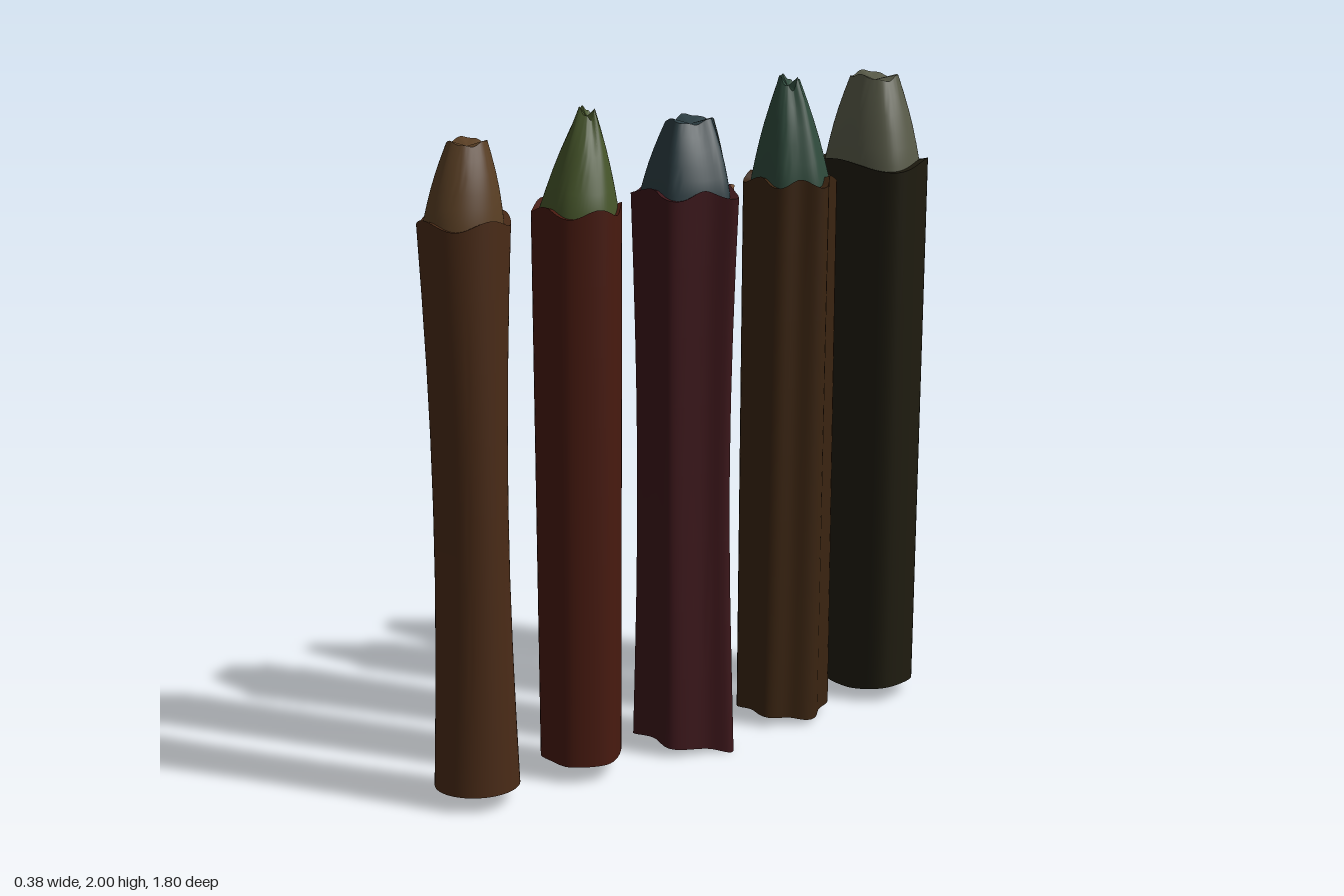
import * as THREE from 'three';
import { toCreasedNormals } from 'three/addons/utils/BufferGeometryUtils.js';

const N = 64;
const lerp = THREE.MathUtils.lerp;

// Half outline by a rule: radius as a function of the angle from the front.
const polar = (radius) => Array.from({ length: 25 }, (_, i) => {
  const a = i * Math.PI / 24;
  return [Math.sin(a) * radius(a), Math.cos(a) * radius(a)];
});

// Closed outline from one half (front to back, unit size), mirrored and smoothed.
function outline(half) {
  const mirrored = half.slice(1, -1).reverse().map(([x, z]) => [-x, z]);
  const pts = [...half, ...mirrored].map(([x, z]) => new THREE.Vector3(x, 0, z));
  return new THREE.CatmullRomCurve3(pts, true, 'centripetal').getSpacedPoints(N).slice(0, N);
}

// Skin through rows of [y, half width, front z, back z]; wave(row, u, angle) shifts y.
// A row of zero width closes the skin; a span of segments makes an open strip.
function loft(shape, rows, wave, [from, to] = [0, N]) {
  const pos = [], idx = [];
  rows.forEach(([y, hx, front, back], r) => {
    for (const p of shape) {
      const dy = wave(r, p.x, Math.atan2(p.x, p.z));
      pos.push(p.x * hx, y + dy, (front + back) / 2 + p.z * (front - back) / 2);
    }
  });
  for (let r = 0; r < rows.length - 1; r++) {
    for (let s = from; s < to; s++) {
      const a = r * N + s, b = r * N + (s + 1) % N, c = b + N, d = a + N;
      if (rows[r][1] > 0) idx.push(a, b, c);
      if (rows[r + 1][1] > 0) idx.push(a, c, d);
    }
  }
  const geo = new THREE.BufferGeometry();
  geo.setAttribute('position', new THREE.Float32BufferAttribute(pos, 3));
  geo.setIndex(idx);
  return toCreasedNormals(geo, 0.7);
}

function part(name, geo, color) {
  const mesh = new THREE.Mesh(geo, new THREE.MeshStandardMaterial({ color, side: THREE.DoubleSide }));
  mesh.name = name;
  return mesh;
}

// Evenly spaced rows between two sections, drawn in at the middle by a pinch.
function taper(start, end, steps, pinchX, pinchZ) {
  return Array.from({ length: steps + 1 }, (_, i) => {
    const t = i / steps, mid = Math.sin(Math.PI * t);
    const [y, hx, front, back] = start.map((v, k) => lerp(v, end[k], t));
    return [y, hx - pinchX * mid, front - pinchZ * mid, back + pinchZ * mid];
  });
}

// Section scaled about its own centre and placed at height y.
function scaled([, hx, front, back], k, y) {
  const mid = (front + back) / 2;
  return [y, hx * k, lerp(mid, front, k), lerp(mid, back, k)];
}

const grow = ([y, hx, front, back]) => [y, hx + 0.002, front + 0.002, back - 0.002];

// foot, rim and crown are sections: [y, half width, front z, back z].
function makePost({ name, half, foot, rim, crown, shaft, tip, lobes, jag,
  drop = 0, pinchX = 0, pinchZ = 0, strip, chip }) {
  const group = new THREE.Group();
  group.name = name;
  const shape = outline(half);

  // Shaft with a wavy rim, a dropped foot and closed ends.
  const sides = taper(foot, rim, 8, pinchX, pinchZ);
  const edge = (r, u, a) => {
    if (r === 0) return -drop * u * u;
    return r === 8 ? 0.013 * Math.cos(lobes * a) : 0;
  };
  const solid = [scaled(foot, 0, foot[0]), ...sides, scaled(rim, 0, rim[0] - 0.03)];
  group.add(part('shaft', loft(shape, solid, (r, u, a) => edge(r - 1, u, a)), shaft));

  // Tapered, roughly broken tip with a shallow hollow on top.
  const soft = shape.map((p) => {
    const a = Math.atan2(p.x, p.z);
    return new THREE.Vector3(lerp(Math.sin(a), p.x, 0.6), 0, lerp(Math.cos(a), p.z, 0.6));
  });
  const slope = [scaled(rim, 0.87, rim[0] - 0.05), ...taper(scaled(rim, 0.85, rim[0]), crown, 5, -0.007, -0.005)];
  const rough = (r, u, a) => (r < 2 || r > 6 ? 0
    : jag * (r / 6) * (0.7 * Math.sin(3 * a + 1.4) + 0.3 * Math.cos(7 * a)));
  group.add(part('tip', loft(soft, [...slope, scaled(crown, 0, crown[0] - 0.012)], rough), tip));

  // Lighter split wood down the back, and a pale chip on the back of the tip.
  if (strip) group.add(part('backStrip', loft(shape, sides.map(grow), edge, strip), 0x80583c));
  if (chip) group.add(part('tipChip', loft(soft, slope.map(grow), rough, chip), 0x7f8a74));
  return group;
}

export function createModel() {
  const model = new THREE.Group();
  model.name = 'rowOfPosts';

  // Rounded post, waisted in the middle
  model.add(makePost({
    name: 'frontPost', half: polar(() => 1), shaft: 0x4a2b17, tip: 0x5a3f24,
    foot: [0.05, 0.12, 0.885, 0.635], rim: [1.7, 0.125, 0.905, 0.64], crown: [1.915, 0.054, 0.815, 0.7],
    lobes: 4, jag: 0.008, pinchX: 0.007, pinchZ: 0.028,
  }));

  // Post with a flat front and a ridge at the back
  model.add(makePost({
    name: 'secondPost', half: [[0, 1], [0.55, 0.93], [0.98, 0.1], [0.5, -0.68], [0, -1]],
    shaft: 0x481a10, tip: 0x46552a,
    foot: [0.05, 0.125, 0.49, 0.245], rim: [1.69, 0.142, 0.495, 0.235], crown: [1.955, 0.032, 0.37, 0.32],
    lobes: 5, jag: 0.02, strip: [31, 35],
  }));

  // Winged post with a narrow front and a bump at the back
  model.add(makePost({
    name: 'middlePost',
    half: [[0, 0.92], [0.48, 1], [0.78, 0.1], [1, -0.4], [0.5, -0.68], [0.34, -0.96], [0, -1]],
    shaft: 0x3c161a, tip: 0x2c3d42,
    foot: [0.035, 0.175, 0.12, -0.135], rim: [1.7, 0.172, 0.122, -0.155], crown: [1.9, 0.062, 0.04, -0.105],
    lobes: 5, jag: 0.01, drop: 0.035, pinchX: 0.025, pinchZ: 0.01, strip: [26, 38], chip: [28, 36],
  }));

  // Six-lobed post with a pointed tip
  model.add(makePost({
    name: 'fourthPost', half: polar((a) => 1 - 0.08 * Math.cos(6 * a)), shaft: 0x3a2411, tip: 0x2f4a3c,
    foot: [0.035, 0.127, -0.27, -0.545], rim: [1.69, 0.144, -0.295, -0.545], crown: [1.975, 0.035, -0.375, -0.44],
    lobes: 6, jag: 0.025, drop: 0.02,
  }));

  // Broad post with square front corners, widening upward
  model.add(makePost({
    name: 'backPost', half: [[0, 1], [0.45, 0.95], [1, 0.5], [0.74, -0.7], [0, -1]],
    shaft: 0x1f1c10, tip: 0x585a48,
    foot: [0.035, 0.142, -0.65, -0.9], rim: [1.71, 0.185, -0.62, -0.9], crown: [1.965, 0.08, -0.7, -0.82],
    lobes: 3, jag: 0.01, drop: -0.012,
  }));
  return model;
}
